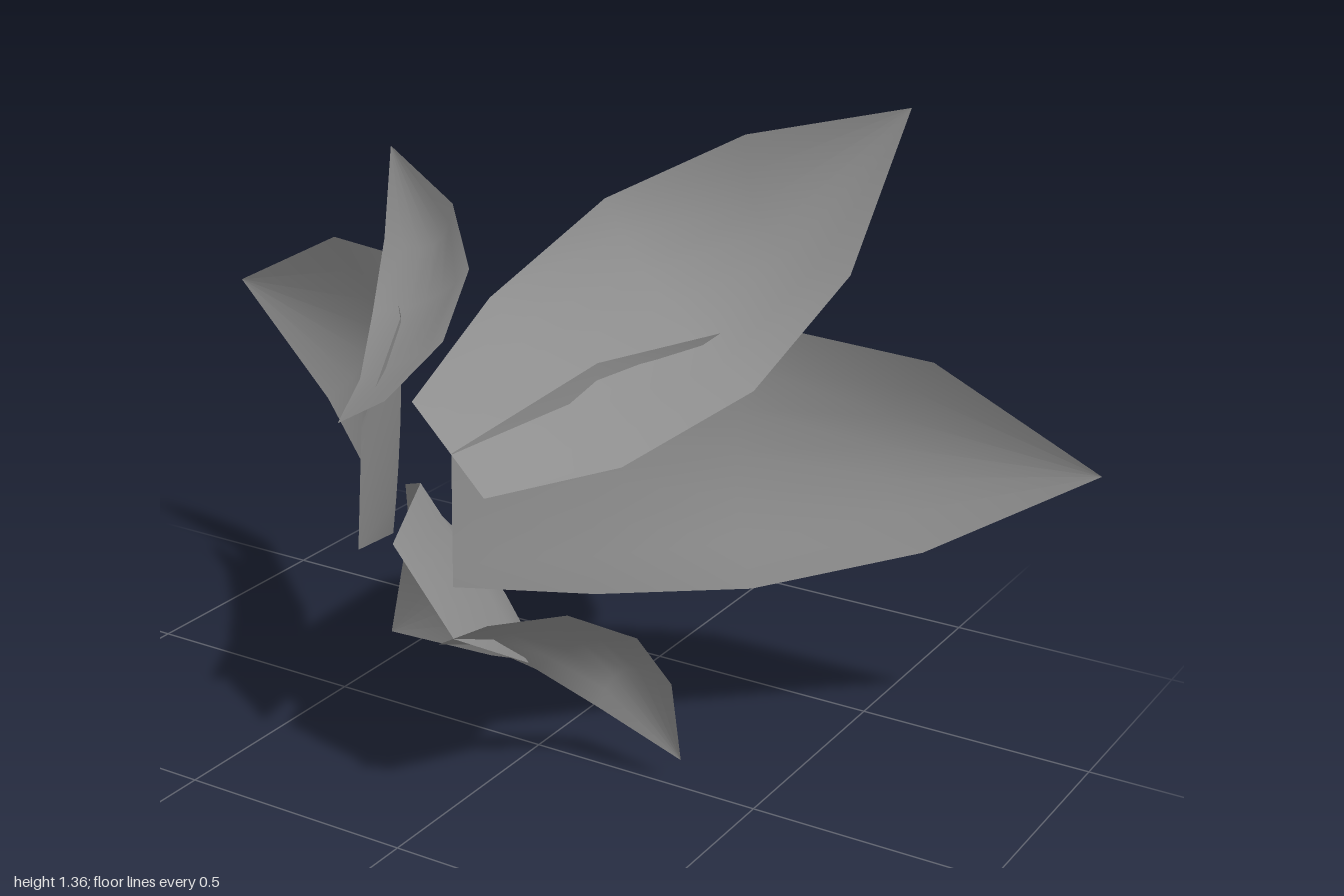
import * as THREE from 'three';

const COLUMNS = 6;
const SAG = [0, 0.03, 0.17, 0.58]; // cupping of each row, relative to its half width
const material = new THREE.MeshStandardMaterial({ color: 0x8f8f8f, side: THREE.DoubleSide });

// A cupped petal: each row is [edgeA x, edgeA y, edgeB x, edgeB y, z].
// The middle of a row sinks towards the flower's axis and slightly back.
function petal(name, rows, tip) {
  const [ax, ay, bx, by] = rows[0];
  const inward = new THREE.Vector2((ax + bx) / 2 - tip[0], (ay + by) / 2 - tip[1]).normalize();
  const positions = [], index = [];
  [...rows, [tip[0], tip[1], tip[0], tip[1], tip[2]]].forEach(([x1, y1, x2, y2, z], r) => {
    const depth = (SAG[r] ?? 0) * Math.hypot(x2 - x1, y2 - y1) / 2;
    for (let c = 0; c <= COLUMNS; c++) {
      const t = c / COLUMNS, sink = depth * 4 * t * (1 - t);
      positions.push(x1 + (x2 - x1) * t + inward.x * sink, y1 + (y2 - y1) * t + inward.y * sink, z - 0.15 * sink);
      if (r && c) {
        const d = r * (COLUMNS + 1) + c, b = d - COLUMNS - 1;
        index.push(b - 1, b, d - 1, b, d, d - 1);
      }
    }
  });
  const geometry = new THREE.BufferGeometry();
  geometry.setAttribute('position', new THREE.Float32BufferAttribute(positions, 3));
  geometry.setIndex(index);
  geometry.computeVertexNormals();
  const mesh = new THREE.Mesh(geometry, material);
  mesh.name = name;
  return mesh;
}

// Half turn about the flower's axis, for the opposite small petal
const turned = ([x1, y1, x2, y2, z]) => [-0.01 - x1, 1.28 - y1, -0.01 - x2, 1.28 - y2, z];

export function createModel() {
  const group = new THREE.Group();
  group.name = 'flower';

  // Two wide side petals, whose upper edges pass through their neighbours
  group.add(petal('leftPetal', [
    [0.085, 0.535, 0.085, 0.797, 0.425], [0.2, 0.43, 0.2, 0.9, 0.11],
    [0.4, 0.39, 0.4, 0.94, -0.155], [0.68, 0.465, 0.68, 0.86, -0.34],
  ], [1, 0.665, -0.425]));
  group.add(petal('rightPetal', [
    [-0.115, 0.81, -0.13, 0.56, 0.425], [-0.22, 0.93, -0.25, 0.47, 0.15],
    [-0.41, 0.975, -0.455, 0.45, -0.07], [-0.68, 0.925, -0.71, 0.55, -0.245],
  ], [-1, 0.76, -0.315]));

  // Two long diagonal petals
  group.add(petal('upperPetal', [
    [0.155, 0.725, 0, 0.88, 0.425], [0.29, 0.73, 0, 1.01, 0.17],
    [0.44, 0.84, 0.11, 1.165, -0.06], [0.555, 1.045, 0.325, 1.285, -0.215],
  ], [0.63, 1.36, -0.285]));
  group.add(petal('lowerPetal', [
    [-0.05, 0.59, 0.085, 0.43, 0.425], [-0.17, 0.6, 0.08, 0.275, 0.165],
    [-0.37, 0.48, -0.04, 0.155, -0.06], [-0.475, 0.31, -0.26, 0.05, -0.215],
  ], [-0.58, 0, -0.285]));

  // Two small petals
  const small = [
    [-0.06, 0.87, -0.17, 0.805, 0.425], [-0.045, 0.94, -0.24, 0.83, 0.26],
    [-0.08, 1.04, -0.31, 0.915, 0.12], [-0.175, 1.135, -0.34, 1.04, 0.035],
  ];
  group.add(petal('smallUpperPetal', small, [-0.345, 1.22, 0]));
  group.add(petal('smallLowerPetal', small.map(turned), [0.335, 0.06, 0]));
  return group;
}
